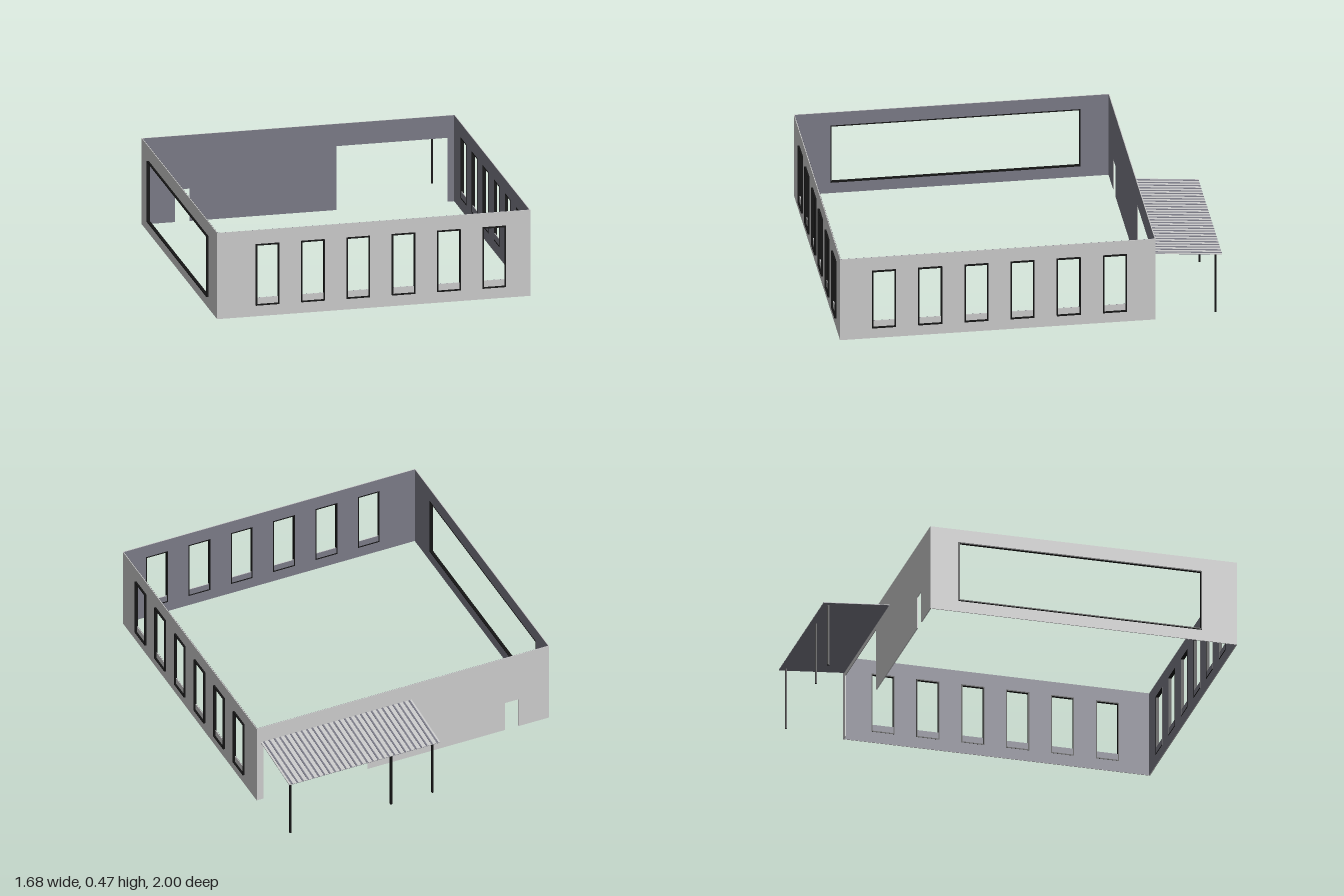
import * as THREE from 'three';

const H = 0.465;            // wall height
const HALF_X = 0.829, FRONT = 0.99, BACK = -0.65;
const SILL = 0.06, HEAD = 0.39;

export function createModel() {
  const wallMat = new THREE.MeshStandardMaterial({ color: 0xcacaca });
  wallMat.name = 'light grey';
  const innerMat = new THREE.MeshStandardMaterial({ color: 0x7a7a86, side: THREE.DoubleSide });
  innerMat.name = 'slate grey';
  const darkMat = new THREE.MeshStandardMaterial({ color: 0x141414 });
  darkMat.name = 'black';

  const model = new THREE.Group();
  model.name = 'building';

  function add(parent, name, geometry, material, x = 0, y = 0, z = 0) {
    const mesh = new THREE.Mesh(geometry, material);
    mesh.name = name;
    mesh.position.set(x, y, z);
    parent.add(mesh);
    return mesh;
  }
  const box = (parent, name, mat, w, h, d, x, y, z) =>
    add(parent, name, new THREE.BoxGeometry(w, h, d), mat, x, y, z);

  // Four thin bars standing proud of the wall around an opening
  function frame(parent, x0, x1) {
    const group = new THREE.Group();
    group.name = 'windowFrame';
    parent.add(group);
    const t = 0.006, d = 0.016, z = 0.002, cx = (x0 + x1) / 2, cy = (SILL + HEAD) / 2;
    for (const y of [SILL + t / 2, HEAD - t / 2]) box(group, 'frameRail', darkMat, x1 - x0, t, d, cx, y, z);
    for (const x of [x0 + t / 2, x1 - t / 2]) box(group, 'frameStile', darkMat, t, HEAD - SILL - 2 * t, d, x, cy, z);
  }

  // Wall in its own plane facing +z: doors cut the bottom edge, windows are holes
  function wall(name, x0, x1, { doors = [], windows = [], holeBottom = 0.1 }) {
    const shape = new THREE.Shape();
    shape.moveTo(x0, 0);
    for (const [a, b, h] of doors) {
      shape.lineTo(a, 0);
      shape.lineTo(a, h);
      shape.lineTo(b, h);
      shape.lineTo(b, 0);
    }
    shape.lineTo(x1, 0);
    shape.lineTo(x1, H);
    shape.lineTo(x0, H);
    shape.closePath();

    const group = new THREE.Group();
    group.name = name;
    for (const [a, b] of windows) {
      const hole = new THREE.Path();
      hole.moveTo(a, holeBottom);
      hole.lineTo(a, HEAD);
      hole.lineTo(b, HEAD);
      hole.lineTo(b, holeBottom);
      hole.closePath();
      shape.holes.push(hole);
      frame(group, a, b);
    }
    const outer = new THREE.ExtrudeGeometry(shape, { depth: 0.004, bevelEnabled: false });
    add(group, 'outerFace', outer, wallMat, 0, 0, -0.004);
    add(group, 'innerFace', new THREE.ShapeGeometry(shape), innerMat, 0, 0, -0.005);
    model.add(group);
    return group;
  }

  // Six evenly spaced windows, from the first centre
  const row = (first) => Array.from({ length: 6 }, (_, i) => {
    const c = first + i * 0.24;
    return [c - 0.062, c + 0.062];
  });

  const front = wall('frontWall', -HALF_X, HALF_X, { windows: row(-0.563) });
  front.position.z = FRONT;

  const left = wall('leftWall', -FRONT, -BACK, { windows: row(-0.762) });
  left.rotation.y = Math.PI / 2;
  left.position.x = HALF_X;

  const right = wall('rightWall', BACK, FRONT, { windows: [[-0.5, 0.8]], holeBottom: SILL });
  right.rotation.y = -Math.PI / 2;
  right.position.x = -HALF_X;

  const back = wall('backWall', -HALF_X, HALF_X, {
    doors: [[-0.79, -0.2, 0.345], [0.577, 0.655, 0.175]],
  });
  back.rotation.y = Math.PI;
  back.position.z = BACK;

  // Sloping ribbed canopy over the wide back entrance
  const canopy = new THREE.Group();
  canopy.name = 'canopy';
  canopy.position.set(0.378, 0.37, BACK);
  canopy.rotation.x = -Math.atan2(0.03, 0.35);
  model.add(canopy);
  const width = 0.855, run = 0.351;
  box(canopy, 'canopyUnderside', innerMat, width, 0.002, run, 0, -0.003, -run / 2);
  box(canopy, 'canopySheet', wallMat, width, 0.002, run, 0, -0.001, -run / 2);
  const ribs = 28;
  for (let i = 0; i < ribs; i++) {
    const x = ((i + 0.5) / ribs - 0.5) * width;
    box(canopy, 'canopyRib', innerMat, 0.009, 0.002, run, x, 0.001, -run / 2);
  }

  // Slim posts under the outer edge
  for (const x of [0.785, 0.215, -0.02]) {
    box(model, 'canopyPost', darkMat, 0.01, 0.339, 0.01, x, 0.1695, -0.967);
  }

  return model;
}
